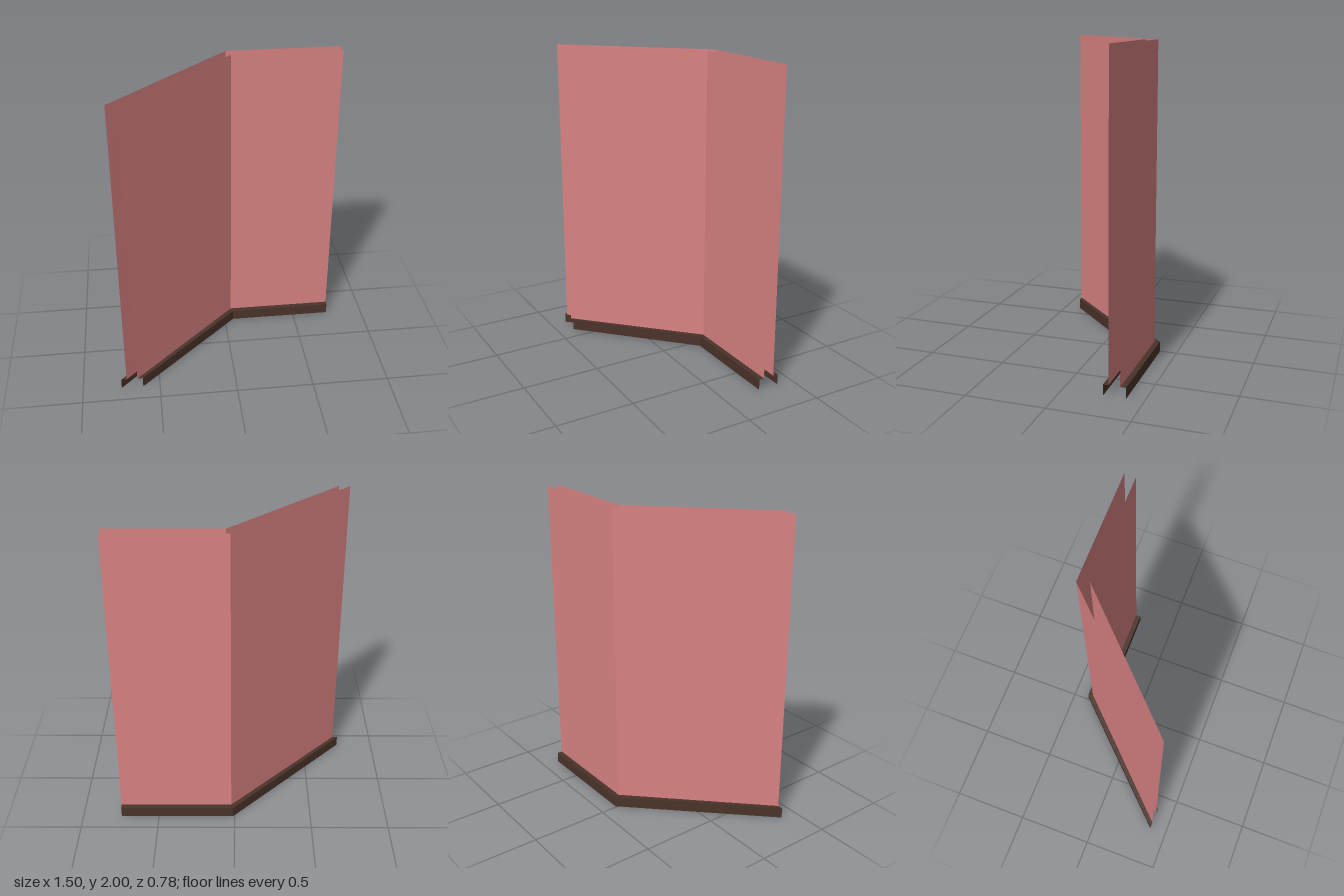
import * as THREE from 'three';

const HEIGHT = 2;
const BOARD = 0.07;

const wallMat = new THREE.MeshStandardMaterial({ color: 0xd98282, side: THREE.DoubleSide });
const boardMat = new THREE.MeshStandardMaterial({ color: 0x4a3329, side: THREE.DoubleSide });

// Flat-shaded surface stretched between successive rails; each rail is { path: [[x, z], ...], y }.
function sheet(name, rails, material) {
  const positions = [];
  const point = (rail, i) => [rail.path[i][0], rail.y, rail.path[i][1]];
  for (let r = 0; r < rails.length - 1; r++) {
    const low = rails[r], high = rails[r + 1];
    for (let i = 0; i < low.path.length - 1; i++) {
      const a = point(low, i), b = point(low, i + 1);
      const c = point(high, i + 1), d = point(high, i);
      positions.push(...a, ...b, ...c, ...a, ...c, ...d);
    }
  }
  const geometry = new THREE.BufferGeometry();
  geometry.setAttribute('position', new THREE.Float32BufferAttribute(positions, 3));
  geometry.computeVertexNormals();
  const mesh = new THREE.Mesh(geometry, material);
  mesh.name = name;
  return mesh;
}

// One side of the wall: a bent sheet above an open skirting board with a top lip.
function wallSide(name, wallPath, boardPath) {
  const side = new THREE.Group();
  side.name = name;
  side.add(
    sheet(name + 'Panel', [{ path: wallPath, y: BOARD }, { path: wallPath, y: HEIGHT }], wallMat),
    sheet(name + 'Baseboard', [
      { path: boardPath, y: 0 },
      { path: boardPath, y: BOARD },
      { path: wallPath, y: BOARD },
    ], boardMat),
  );
  return side;
}

export function createModel() {
  const model = new THREE.Group();
  model.name = 'angledWall';

  // Front side, running left to right so that it faces forward
  model.add(wallSide('frontWall',
    [[-0.645, 0.39], [0.047, -0.287], [0.747, -0.287]],
    [[-0.61, 0.39], [0.06, -0.253], [0.747, -0.253]]));

  // Back side, running the other way so that it faces backward
  model.add(wallSide('backWall',
    [[0.747, -0.358], [0.022, -0.358], [-0.715, 0.39]],
    [[0.747, -0.392], [0.01, -0.392], [-0.75, 0.39]]));

  return model;
}
